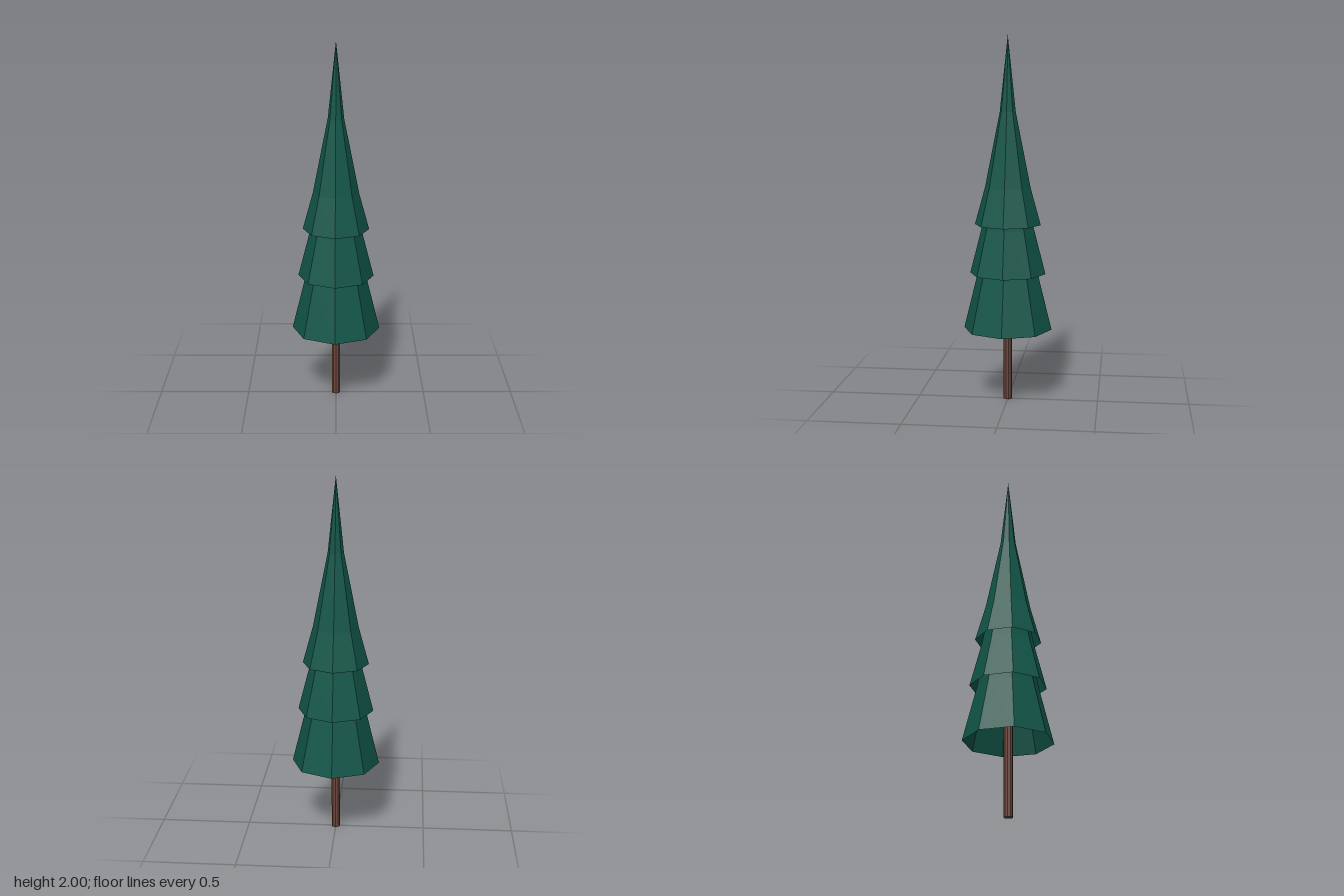
import * as THREE from 'three';

const TURN = -0.026; // slight twist of the octagonal tiers

// Fractions of tier height and base radius, from skirt to tip
const PROFILE = [[0, 1], [0.2, 0.69], [0.6, 0.24], [1, 0]];

function makeTier(name, baseY, tipY, radius, material) {
  const points = PROFILE.map(([h, r]) => new THREE.Vector2(radius * r, baseY + (tipY - baseY) * h));
  const tier = new THREE.Mesh(new THREE.LatheGeometry(points, 8, TURN), material);
  tier.name = name;
  return tier;
}

export function createModel() {
  const needles = new THREE.MeshStandardMaterial({ color: 0x115548, flatShading: true, side: THREE.DoubleSide });
  needles.name = 'dark green needles';
  const bark = new THREE.MeshStandardMaterial({ color: 0x6d463c, flatShading: true });
  bark.name = 'brown bark';

  const tree = new THREE.Group();
  tree.name = 'conifer';

  // Slim trunk running up inside the hollow tiers
  const trunk = new THREE.Mesh(new THREE.CylinderGeometry(0.024, 0.024, 1, 10), bark);
  trunk.name = 'trunk';
  trunk.position.y = 0.5;
  tree.add(trunk);

  // Three nested hollow tiers of branches
  tree.add(
    makeTier('lowerBranches', 0.4, 1.92, 0.243, needles),
    makeTier('middleBranches', 0.71, 1.96, 0.208, needles),
    makeTier('upperBranches', 0.98, 2, 0.181, needles)
  );
  return tree;
}
